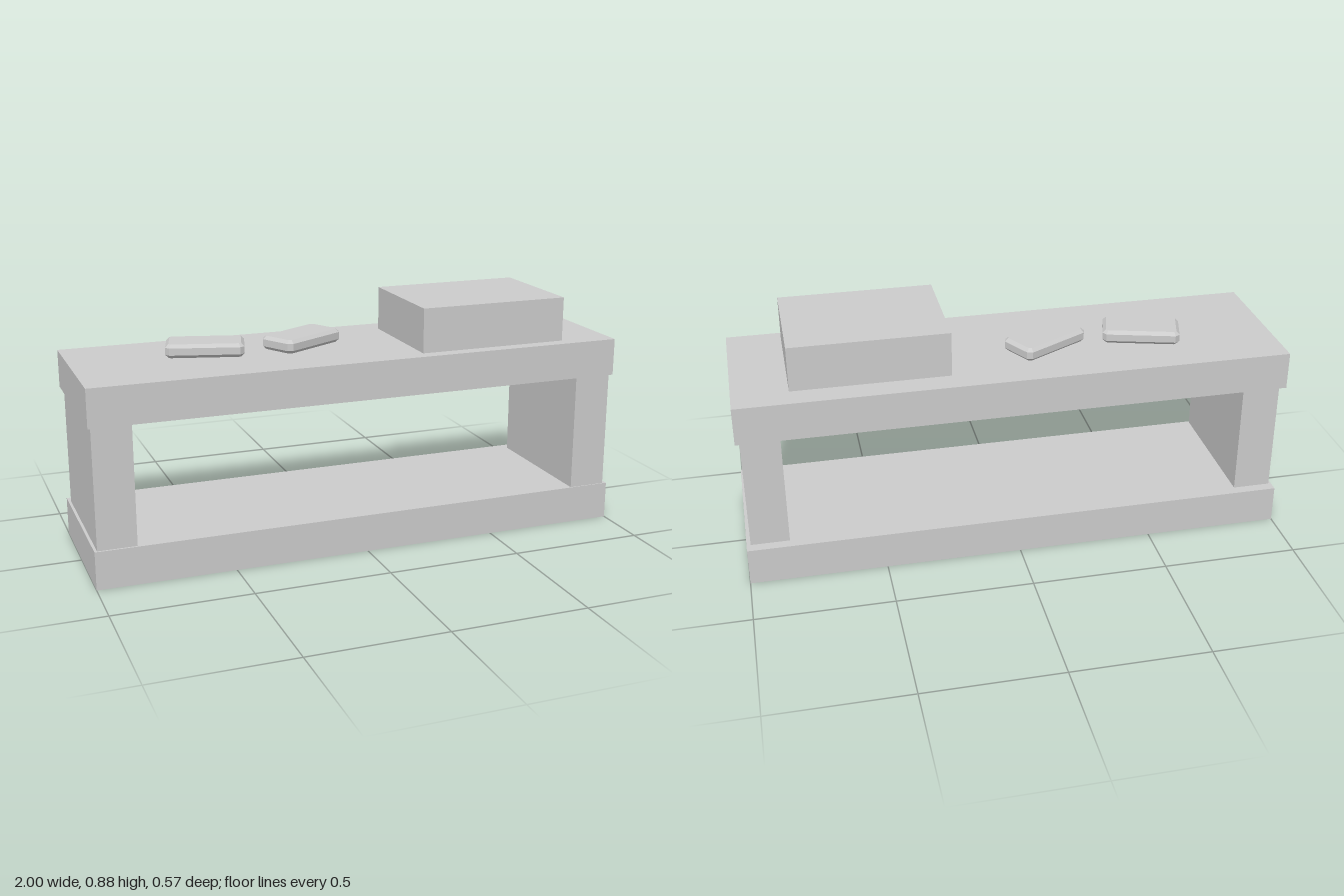
import * as THREE from 'three';

const material = new THREE.MeshStandardMaterial({ color: 0xcccccc, flatShading: true });

// Box given by its lower and upper limits on each axis
function box(name, [x0, x1], [y0, y1], [z0, z1]) {
  const mesh = new THREE.Mesh(new THREE.BoxGeometry(x1 - x0, y1 - y0, z1 - z0), material);
  mesh.name = name;
  mesh.position.set((x0 + x1) / 2, (y0 + y1) / 2, (z0 + z1) / 2);
  return mesh;
}

// Thin slab with chamfered corners and bevelled rims, lying flat on y = 0
function slabGeometry(width, depth, height, bevel, corner) {
  const a = width / 2 - bevel;
  const b = depth / 2 - bevel;
  const c = corner;
  const outline = new THREE.Shape([
    [-a + c, -b], [a - c, -b], [a, -b + c], [a, b - c],
    [a - c, b], [-a + c, b], [-a, b - c], [-a, -b + c],
  ].map(([x, y]) => new THREE.Vector2(x, y)));
  const geometry = new THREE.ExtrudeGeometry(outline, {
    depth: height - 2 * bevel,
    bevelEnabled: true,
    bevelThickness: bevel,
    bevelSize: bevel,
    bevelSegments: 1,
  });
  geometry.translate(0, 0, bevel);
  geometry.rotateX(-Math.PI / 2);
  return geometry;
}

export function createModel() {
  const group = new THREE.Group();
  group.name = 'bench';

  // Two boards joined by an upright at each end, set towards the front
  const boardZ = [-0.285, 0.285];
  group.add(box('baseBoard', [-1, 1], [0, 0.14], boardZ));
  group.add(box('topBoard', [-1, 1], [0.577, 0.716], boardZ));
  group.add(box('rightUpright', [-0.99, -0.85], [0.14, 0.577], [-0.247, 0.278]));
  group.add(box('leftUpright', [0.845, 0.985], [0.14, 0.577], [-0.247, 0.281]));

  // Large block on the top board
  group.add(box('block', [0.23, 0.8], [0.716, 0.881], [-0.195, 0.236]));

  // Two small slabs, each turned at its own angle
  const slab = slabGeometry(0.282, 0.15, 0.05, 0.012, 0.008);
  [['rightSlab', -0.51, -0.273], ['leftSlab', -0.144, 0.507]].forEach(([name, x, turn]) => {
    const mesh = new THREE.Mesh(slab, material);
    mesh.name = name;
    mesh.position.set(x, 0.719, -0.032);
    mesh.rotation.y = turn;
    group.add(mesh);
  });

  return group;
}
